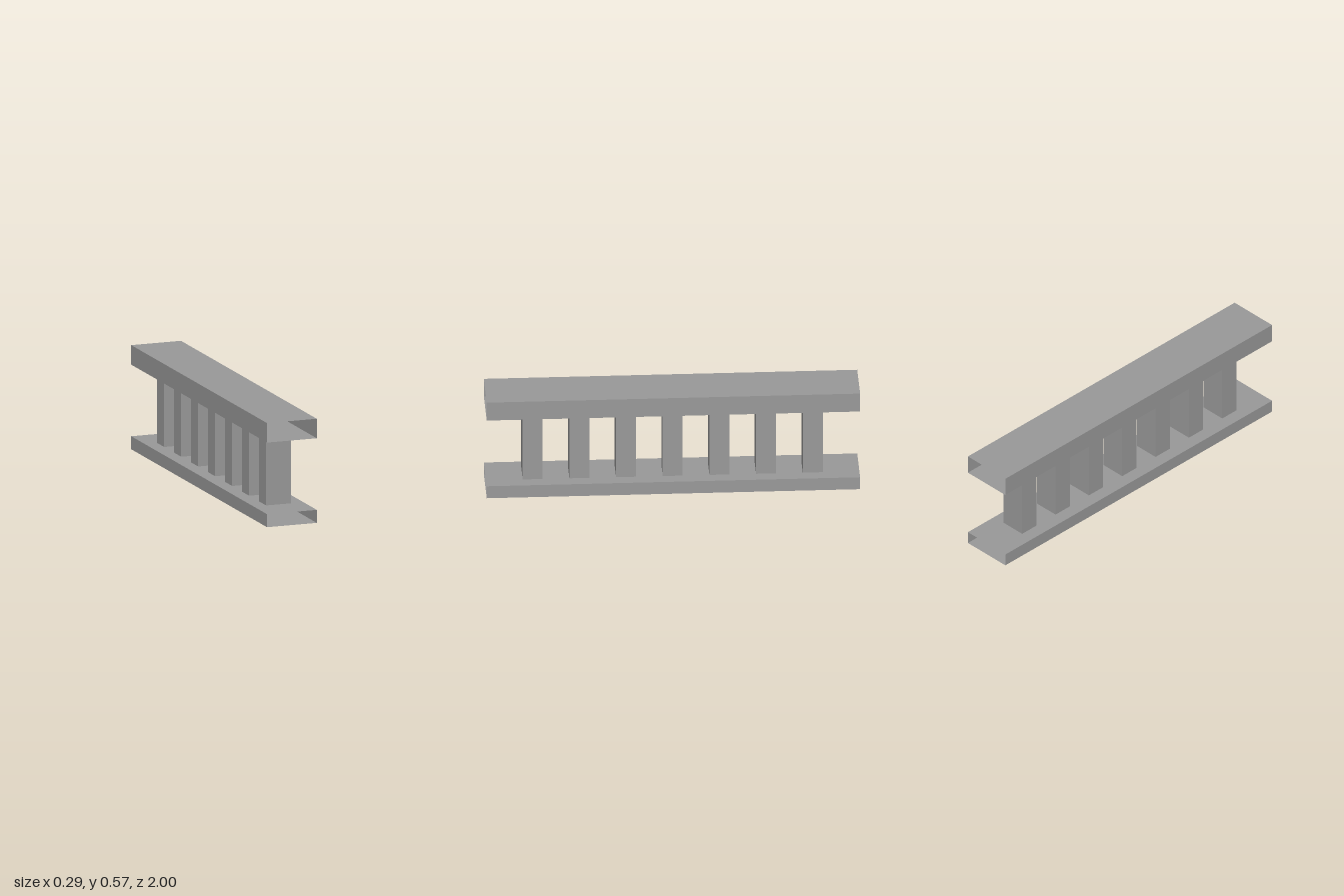
import * as THREE from 'three';

const material = new THREE.MeshStandardMaterial({ color: 0x9a9a9a, side: THREE.DoubleSide });

// Thin box sleeve left open at both ends along the given axis
function sleeve(name, w, h, d, openAxis, y, z = 0) {
  const box = new THREE.BoxGeometry(w, h, d);
  const first = { x: 0, y: 12, z: 24 }[openAxis]; // 12 indices per pair of opposite faces
  const index = Array.from(box.index.array);
  index.splice(first, 12);
  box.setIndex(index);
  box.clearGroups();
  const mesh = new THREE.Mesh(box, material);
  mesh.name = name;
  mesh.position.set(0, y, z);
  return mesh;
}

export function createModel() {
  const model = new THREE.Group();
  model.name = 'balustrade';

  const railWidth = 0.2857, length = 2;
  const bottomTop = 0.0714, topBottom = 0.4643, height = 0.5714;

  // Hollow rails, open at the front and back
  model.add(sleeve('bottomRail', railWidth, bottomTop, length, 'z', bottomTop / 2));
  model.add(sleeve('topRail', railWidth, height - topBottom, length, 'z', (height + topBottom) / 2));

  // Row of seven posts between the rails
  const posts = new THREE.Group();
  posts.name = 'posts';
  for (let i = -3; i <= 3; i++) {
    posts.add(sleeve('post', 0.1429, topBottom - bottomTop, 0.1071, 'y', (topBottom + bottomTop) / 2, i * 0.25));
  }
  model.add(posts);
  return model;
}
